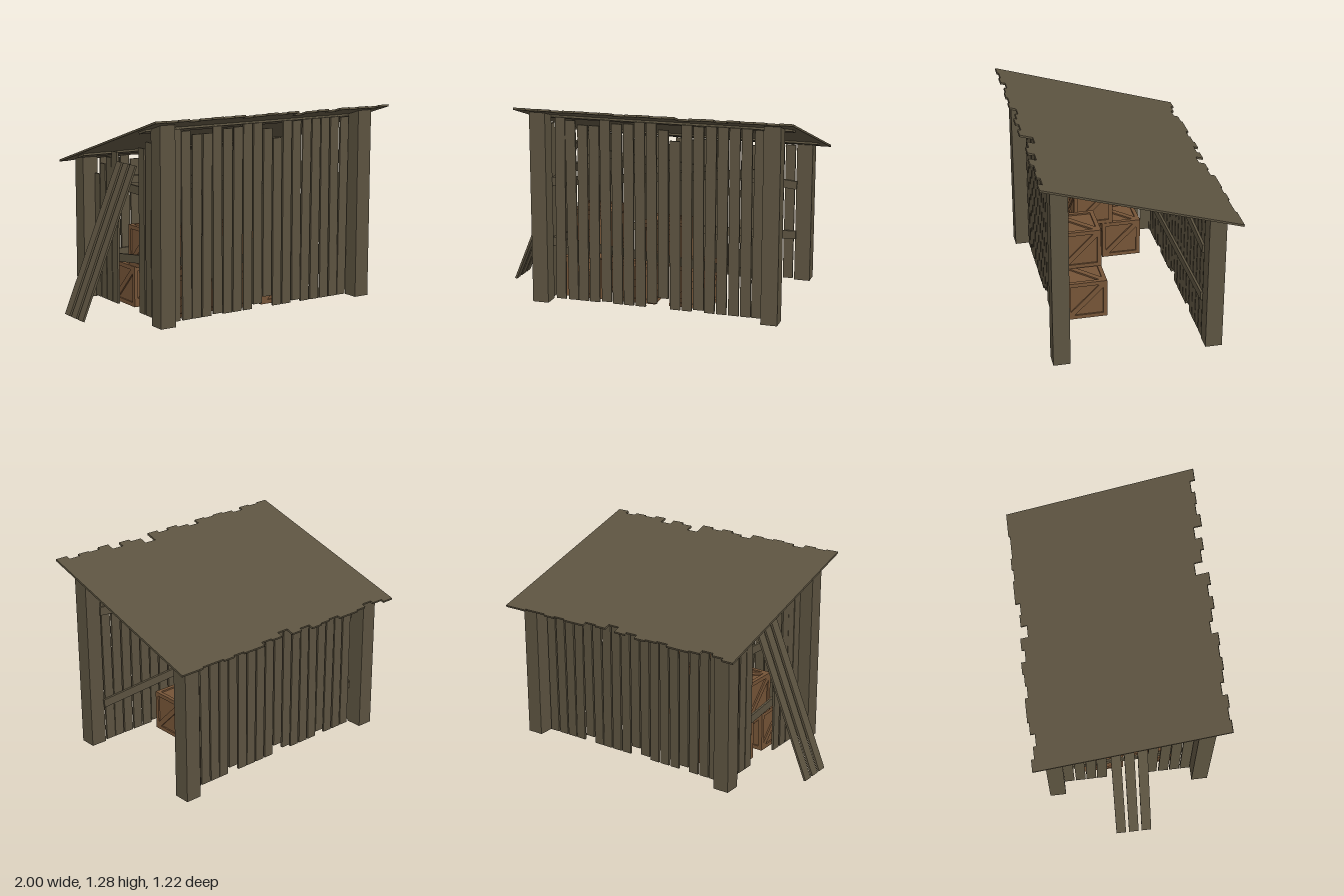
import * as THREE from 'three';

const wood = new THREE.MeshStandardMaterial({ color: 0x5c5340, flatShading: true });
const crateWood = new THREE.MeshStandardMaterial({ color: 0x755437, flatShading: true });
const SLOPE = 0.303;
const underRoof = (z) => 1.078 + SLOPE * z;

let seed = 7;
const rand = () => (seed = (seed * 16807) % 2147483647) / 2147483647;

function box(parent, name, size, pos, mat = wood) {
  const m = new THREE.Mesh(new THREE.BoxGeometry(...size), mat);
  m.name = name;
  m.position.set(...pos);
  parent.add(m);
  return m;
}

// Flat board running between two points in the x/y or z/y plane
function beam(parent, name, a, b, height, thick) {
  const A = new THREE.Vector3(...a), B = new THREE.Vector3(...b);
  const d = B.clone().sub(A), mid = A.clone().add(B).multiplyScalar(0.5);
  const alongX = Math.abs(d.x) > Math.abs(d.z);
  const size = alongX ? [d.length(), height, thick] : [thick, height, d.length()];
  const m = box(parent, name, size, mid.toArray());
  if (alongX) m.rotation.z = Math.atan2(d.y, d.x);
  else m.rotation.x = -Math.atan2(d.y, d.z);
  return m;
}

// Corner post whose top is cut to the roof slope
function post(parent, x, z) {
  const geo = new THREE.BoxGeometry(0.105, 1, 0.107);
  const p = geo.attributes.position;
  for (let i = 0; i < p.count; i++) {
    p.setY(i, p.getY(i) > 0 ? underRoof(z + p.getZ(i)) : 0.005);
  }
  geo.computeVertexNormals();
  const m = new THREE.Mesh(geo, wood);
  m.name = 'cornerPost';
  m.position.set(x, 0, z);
  parent.add(m);
}

// Crate: recessed core with six framed panels, each with a diagonal brace
function crate(parent, x, y, z) {
  const S = 0.265, h = S / 2, depth = 0.01, i = h - 0.026, g = 0.024;
  const g0 = new THREE.Group();
  g0.name = 'crate';
  g0.position.set(x, y + h, z);
  box(g0, 'crateCore', [S - 2 * depth, S - 2 * depth, S - 2 * depth], [0, 0, 0], crateWood);
  const poly = (C, pts) => new C(pts.map(([u, v]) => new THREE.Vector2(u, v)));
  const shape = poly(THREE.Shape, [[-h, -h], [h, -h], [h, h], [-h, h]]);
  shape.holes.push(
    poly(THREE.Path, [[-i, i], [i - g, i], [-i, -i + g]]),
    poly(THREE.Path, [[i, -i], [i, i - g], [-i + g, -i]])
  );
  const geo = new THREE.ExtrudeGeometry(shape, { depth, bevelEnabled: false });
  geo.translate(0, 0, h - depth);
  const turns = [[0, 0], [0, 1], [0, 2], [0, 3], [1, 0], [-1, 0]];
  for (const [rx, ry] of turns) {
    const m = new THREE.Mesh(geo, crateWood);
    m.name = 'cratePanel';
    m.rotation.set(rx * Math.PI / 2, ry * Math.PI / 2, 0);
    g0.add(m);
  }
  parent.add(g0);
}

function createModel() {
  const shed = new THREE.Group();
  shed.name = 'shed';

  // Corner posts
  for (const x of [-0.637, 0.862]) for (const z of [0.485, -0.478]) post(shed, x, z);

  // Front and back plank walls: top and bottom height of each plank
  const frontTops = [1.2, 1.185, 1.16, 1.16, 1.2, 1.18, 1.185, 1.2, 1.2, 1.16, 1.095, 1.2, 1.195, 1.2, 1.2, 1.2, 1.2, 1.195];
  const frontLow = { 8: 0.04, 9: 0.08, 4: 0.02, 12: 0.025 };
  const backTops = [0.93, 0.92, 0.93, 0.9, 0.93, 0.93, 0.88, 0.93, 0.92, 0.93, 0.93, 0.9, 0.93, 0.93, 0.91, 0.93, 0.92, 0.93];
  const backLow = { 3: 0.04, 7: 0.03, 8: 0.07, 13: 0.05 };
  const wall = (name, tops, lows, z) => {
    const g = new THREE.Group();
    g.name = name;
    tops.forEach((top, i) => {
      const low = lows[i] ?? 0.012;
      const m = box(g, 'wallPlank', [0.066, top - low, 0.014], [-0.525 + i * 0.0759, (top + low) / 2, z]);
      m.rotation.z = (rand() - 0.5) * 0.016;
    });
    shed.add(g);
  };
  wall('frontWall', frontTops, frontLow, 0.442);
  wall('backWall', backTops, backLow, -0.434);

  // Side wall, with a gap in the middle: z, top
  const side = [[0.395, 1.15], [0.322, 1.105], [0.252, 1.105], [0.17, 1.06],
    [-0.168, 1.0], [-0.24, 0.955], [-0.317, 0.905], [-0.392, 0.83]];
  for (const [z, top] of side) {
    const m = box(shed, 'sideWallPlank', [0.014, top - 0.012, 0.066], [-0.597, (top + 0.012) / 2, z]);
    m.rotation.x = (rand() - 0.5) * 0.014;
  }

  // Crooked rails inside the walls
  const L = -0.585, R = 0.815;
  beam(shed, 'frontUpperRail', [L, 0.78, 0.427], [R, 0.932, 0.427], 0.055, 0.015);
  beam(shed, 'frontLowerRail', [L, 0.387, 0.427], [R, 0.283, 0.427], 0.055, 0.015);
  beam(shed, 'backUpperRail', [L, 0.79, -0.418], [R, 0.66, -0.418], 0.055, 0.015);
  beam(shed, 'backLowerRail', [L, 0.278, -0.418], [R, 0.32, -0.418], 0.055, 0.015);
  beam(shed, 'sideUpperRail', [-0.582, 0.78, 0.42], [-0.582, 0.792, -0.425], 0.053, 0.015);
  beam(shed, 'sideLowerRail', [-0.582, 0.388, 0.42], [-0.582, 0.278, -0.425], 0.053, 0.015);

  // Loose planks leaning against the gap
  for (const z of [-0.085, 0, 0.085]) {
    const dx = 0.385, dy = 0.94;
    const m = box(shed, 'leaningPlank', [0.014, Math.hypot(dx, dy), 0.064], [-0.993 + dx / 2, 0.003 + dy / 2, z]);
    m.rotation.z = -Math.atan2(dx, dy);
  }

  // Sloping roof of uneven boards: back and front ends of each
  const roof = new THREE.Group();
  roof.name = 'roof';
  roof.position.y = 1.086;
  roof.rotation.x = -Math.atan(SLOPE);
  const k = Math.hypot(1, SLOPE);
  const backEnds = [61, 59, 57, 60, 61, 61, 59, 60, 61, 58, 60, 55, 59, 58, 61, 61, 60, 61, 60, 60, 61, 61];
  const frontEnds = [61, 60, 61, 58, 60, 61, 60, 61, 57, 59, 61, 59, 61, 53, 58, 60, 56, 61, 59, 60, 58, 61];
  const pitch = 1.765 / backEnds.length;
  backEnds.forEach((b, i) => {
    const back = -b / 100 * k, front = frontEnds[i] / 100 * k;
    box(roof, 'roofBoard', [pitch, 0.013, front - back], [-0.765 + pitch * (i + 0.5), 0, (front + back) / 2]);
  });
  for (const z of [0.392, -0.385]) box(roof, 'roofBatten', [1.69, 0.013, 0.08], [0.117, -0.013, z * k]);
  shed.add(roof);

  // Stacked crates
  const crates = [[0.305, 0.005, 0.232], [-0.055, 0.005, 0.232], [-0.405, 0.005, 0.232],
    [-0.415, 0.005, -0.152], [0.12, 0.272, 0.232], [-0.415, 0.272, 0.042]];
  for (const c of crates) crate(shed, ...c);

  return shed;
}

export { createModel };
